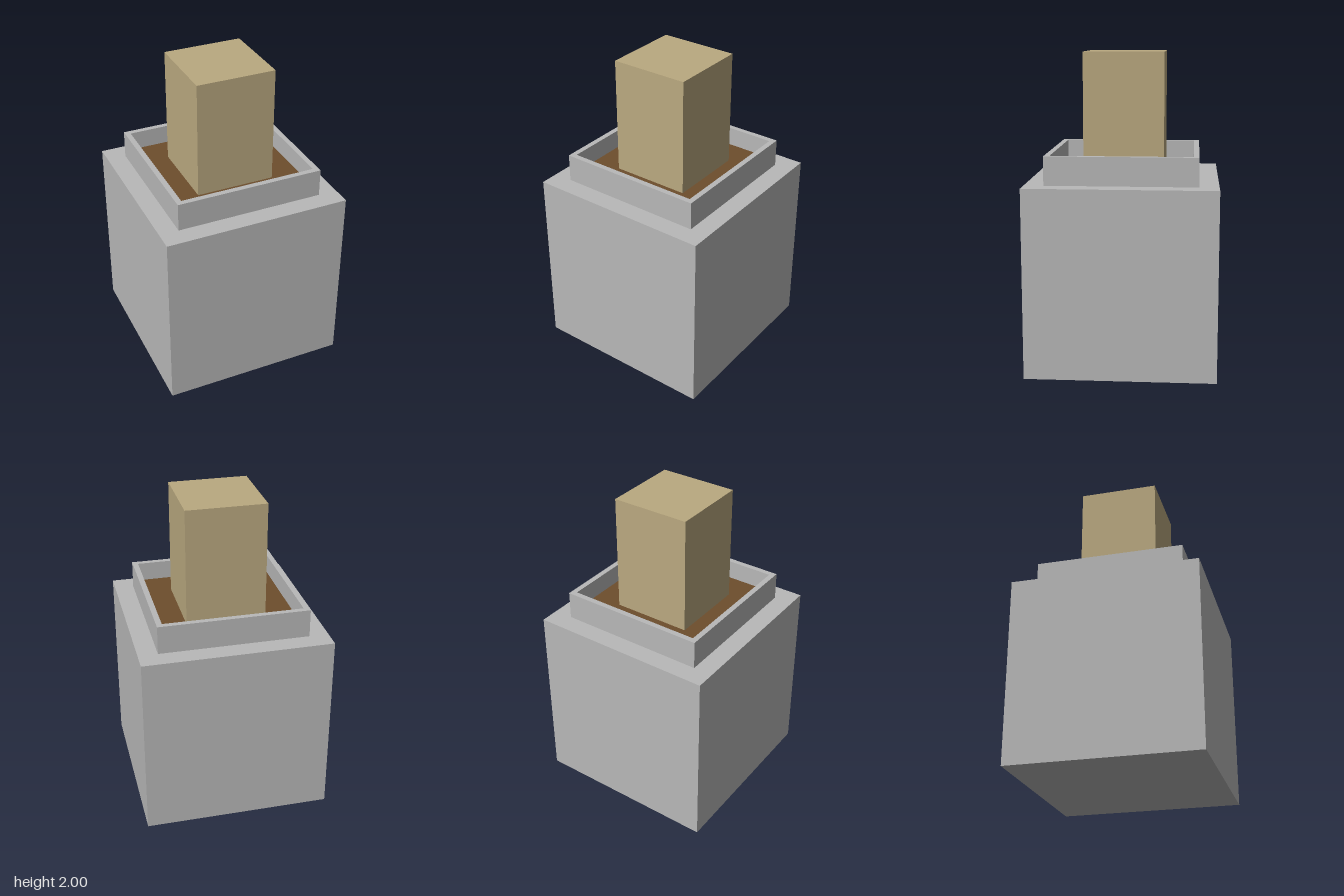
import * as THREE from 'three';

const stone = new THREE.MeshStandardMaterial({ name: 'stoneGrey', color: 0xb8b8b8 });
const soilBrown = new THREE.MeshStandardMaterial({ name: 'soilBrown', color: 0x6e4e2d });
const sand = new THREE.MeshStandardMaterial({ name: 'sand', color: 0xbaa980 });

const BODY = 1.196, RIM = 1.376, SOIL = 1.255;

// Square block standing between two heights
function block(name, half, bottom, top, material) {
  const mesh = new THREE.Mesh(new THREE.BoxGeometry(half * 2, top - bottom, half * 2), material);
  mesh.position.y = (bottom + top) / 2;
  mesh.name = name;
  return mesh;
}

// Square outline, used for the rim and its opening
function square(half, Type) {
  const p = new Type();
  p.moveTo(-half, -half);
  p.lineTo(half, -half);
  p.lineTo(half, half);
  p.lineTo(-half, half);
  p.closePath();
  return p;
}

export function createModel() {
  const model = new THREE.Group();
  model.name = 'planter';

  // Planter body
  model.add(block('planterBody', 0.597, 0, BODY, stone));

  // Raised hollow rim
  const outline = square(0.474, THREE.Shape);
  outline.holes.push(square(0.439, THREE.Path));
  const rimGeometry = new THREE.ExtrudeGeometry(outline, { depth: RIM - BODY, bevelEnabled: false });
  rimGeometry.rotateX(-Math.PI / 2);
  const rim = new THREE.Mesh(rimGeometry, stone);
  rim.position.y = BODY;
  rim.name = 'rim';
  model.add(rim);

  // Soil filling the rim and the post rising from it
  model.add(block('soil', 0.439, BODY, SOIL, soilBrown));
  model.add(block('post', 0.253, SOIL, 2, sand));
  return model;
}
